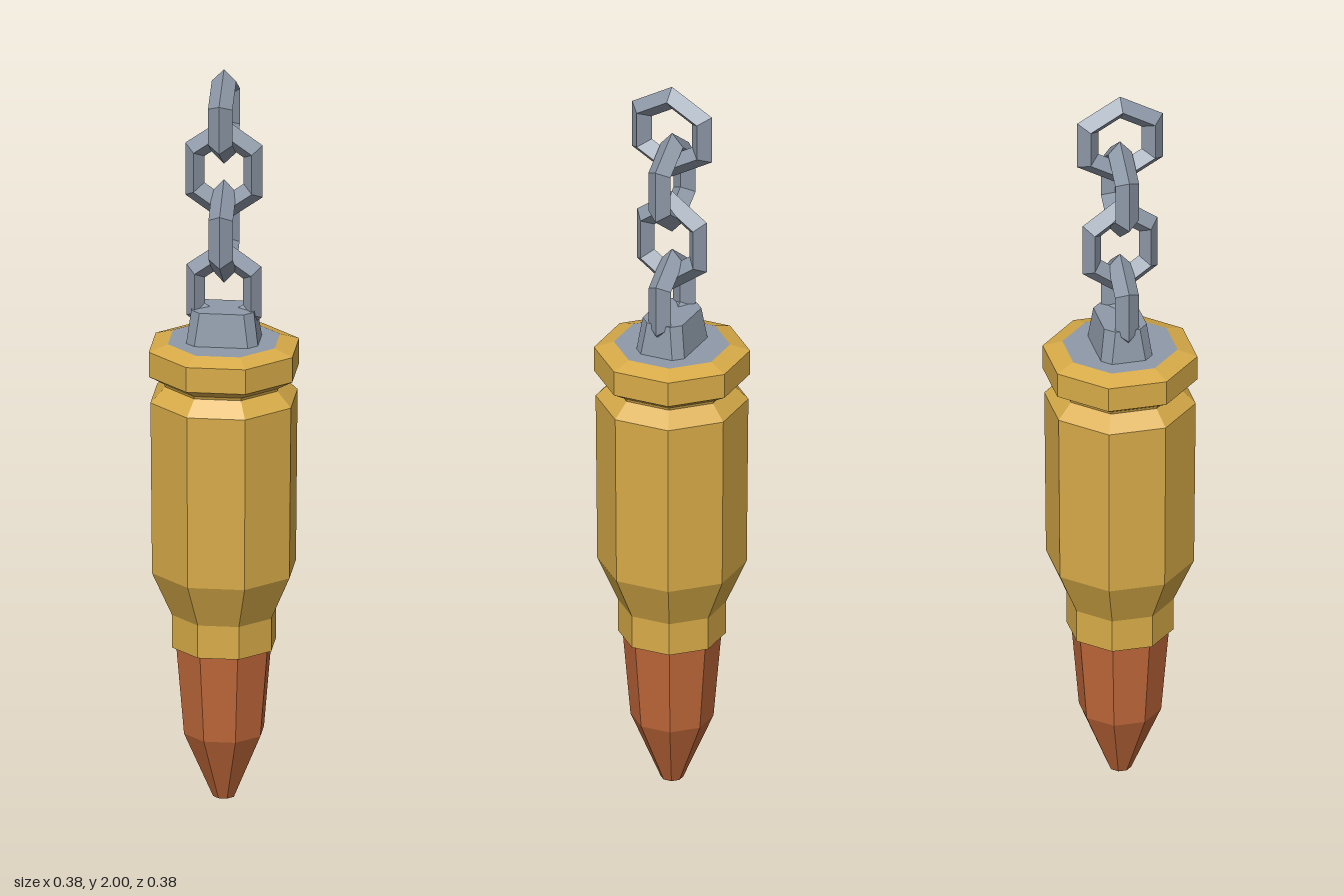
import * as THREE from 'three';
import { ConvexGeometry } from 'three/addons/geometries/ConvexGeometry.js';

const brass = new THREE.MeshStandardMaterial({ color: 0xd8ab48 });
brass.name = 'brass';
const copper = new THREE.MeshStandardMaterial({ color: 0xc0683a });
copper.name = 'copper';
const steel = new THREE.MeshStandardMaterial({ color: 0x8e99a8 });
steel.name = 'steel';

// Octagon sizes are given across the flats, so convert to the corner radius
const corner = (flat) => flat / Math.cos(Math.PI / 8);

function faceted(geometry) {
  const flat = geometry.toNonIndexed();
  flat.computeVertexNormals();
  return flat;
}

function addMesh(group, name, geometry, material) {
  const mesh = new THREE.Mesh(geometry, material);
  mesh.name = name;
  group.add(mesh);
  return mesh;
}

// Eight-sided turned part from [half width, height] pairs, bottom to top
function octagonal(profile) {
  const points = profile.map(([r, y]) => new THREE.Vector2(corner(r), y));
  return faceted(new THREE.LatheGeometry(points, 8, Math.PI / 8));
}

export function createModel() {
  const model = new THREE.Group();
  model.name = 'cartridgePendant';

  // Pointed tip, standing on its nose
  addMesh(model, 'tip', octagonal([
    [0, 0], [0.027, 0], [0.1, 0.18], [0.12, 0.43],
  ]), copper);

  // Casing with neck, shoulder, groove and rim
  addMesh(model, 'casing', octagonal([
    [0.115, 0.42], [0.13, 0.42], [0.13, 0.51], [0.18, 0.63], [0.184, 1.1],
    [0.147, 1.14], [0.15, 1.148], [0.188, 1.172], [0.188, 1.24], [0.14, 1.257],
  ]), brass);

  // Flat plate closing the rim
  const plate = new THREE.CircleGeometry(corner(0.14), 8, Math.PI / 8);
  plate.rotateX(-Math.PI / 2);
  addMesh(model, 'basePlate', plate, steel).position.y = 1.257;

  // Tapered mount with cut corners
  const mountPoints = [];
  for (const [x, z, y] of [[0.095, 0.07, 1.25], [0.082, 0.057, 1.345]]) {
    for (const sx of [-1, 1]) {
      for (const sz of [-1, 1]) {
        mountPoints.push(new THREE.Vector3(sx * x, y, sz * (z - 0.024)));
        mountPoints.push(new THREE.Vector3(sx * (x - 0.024), y, sz * z));
      }
    }
  }
  addMesh(model, 'chainMount', new ConvexGeometry(mountPoints), steel);

  // Six-sided links of diamond section, alternating by a quarter turn
  const link = new THREE.TorusGeometry(0.098, 0.032, 4, 6);
  link.rotateZ(Math.PI / 2);
  const linkGeometry = faceted(link);
  const chain = new THREE.Group();
  chain.name = 'chain';
  model.add(chain);
  const links = [
    // centre height, width scale, height scale
    [1.39, 0.87, 1.08],
    [1.555, 0.89, 1.1],
    [1.723, 0.9, 1.1],
    [1.87, 1.02, 1],
  ];
  links.forEach(([y, width, height], i) => {
    const mesh = addMesh(chain, `chainLink${i + 1}`, linkGeometry, steel);
    mesh.position.y = y;
    mesh.scale.set(width, height, 1);
    mesh.rotation.y = i % 2 ? Math.PI / 2 : 0;
  });

  return model;
}
